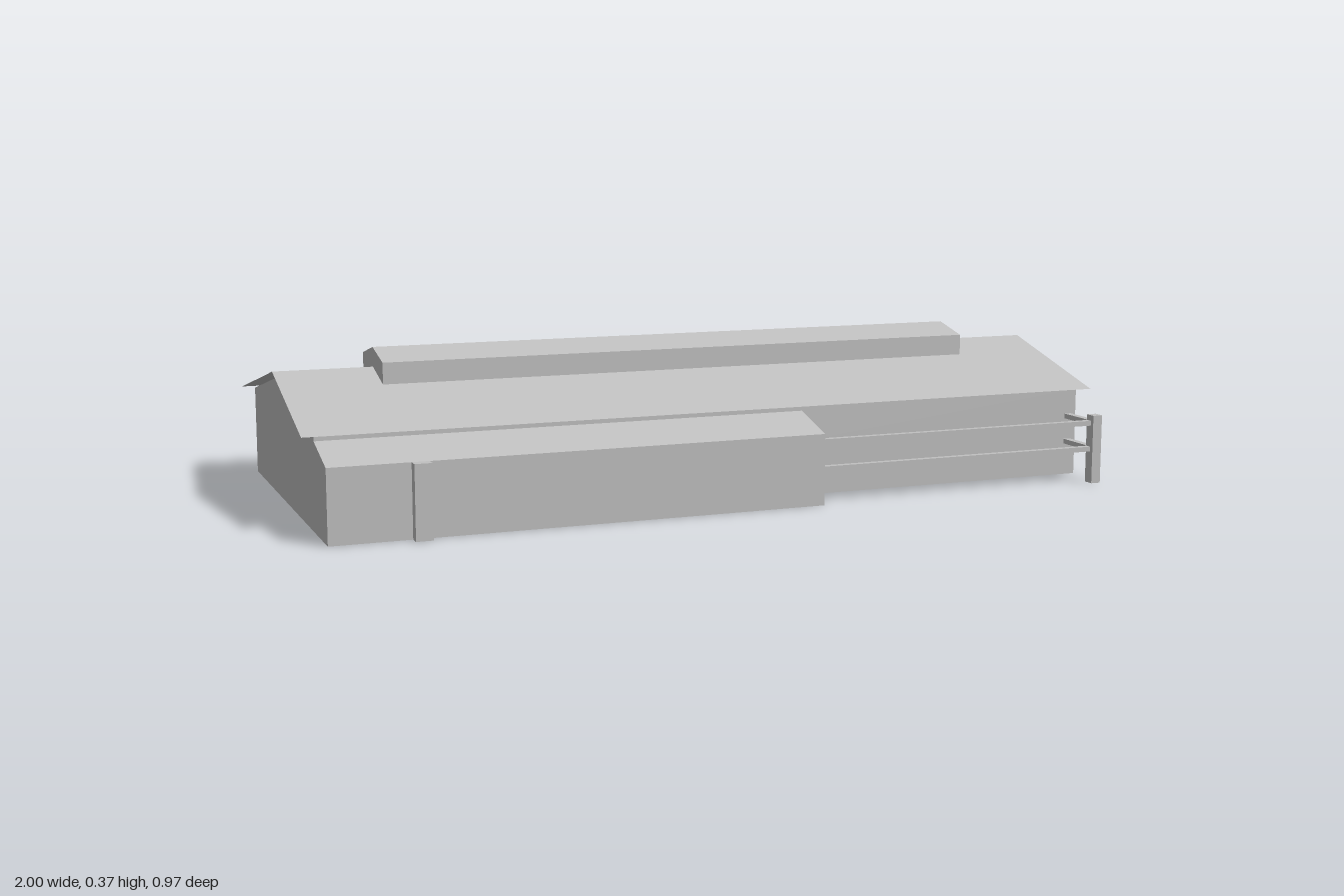
import * as THREE from 'three';

export function createModel() {
  const group = new THREE.Group();
  const grey = new THREE.MeshStandardMaterial({ color: 0xc0c0c0, side: THREE.DoubleSide });
  grey.name = 'light grey';

  function add(name, geometry) {
    const mesh = new THREE.Mesh(geometry, grey);
    mesh.name = name;
    group.add(mesh);
    return mesh;
  }

  // Thin flat panels along x, following a [z, y] path from front to back
  function sheet(name, path, x0, x1) {
    const pos = [];
    for (let i = 0; i < path.length - 1; i++) {
      const [za, ya] = path[i];
      const [zb, yb] = path[i + 1];
      pos.push(x0, ya, za, x1, ya, za, x1, yb, zb);
      pos.push(x0, ya, za, x1, yb, zb, x0, yb, zb);
    }
    const g = new THREE.BufferGeometry();
    g.setAttribute('position', new THREE.Float32BufferAttribute(pos, 3));
    g.computeVertexNormals();
    return add(name, g);
  }

  // Flat end panel with a [z, y] outline, standing at x
  function endPanel(name, outline, x) {
    const shape = new THREE.Shape(outline.map(([z, y]) => new THREE.Vector2(-z, y)));
    const g = new THREE.ShapeGeometry(shape);
    g.rotateY(Math.PI / 2);
    g.translate(x, 0, 0);
    return add(name, g);
  }

  function box(name, x0, x1, y0, y1, z0, z1) {
    const g = new THREE.BoxGeometry(x1 - x0, y1 - y0, z1 - z0);
    g.translate((x0 + x1) / 2, (y0 + y1) / 2, (z0 + z1) / 2);
    return add(name, g);
  }

  // Main hall, open underneath
  const gable = [[0.33, 0], [-0.46, 0], [-0.46, 0.217], [-0.004, 0.312], [0.33, 0.217]];
  endPanel('leftGable', gable, 0.97);
  endPanel('rightGable', gable, -0.97);
  sheet('frontWall', [[0.33, 0], [0.33, 0.217]], -0.97, 0.97);
  sheet('backWall', [[-0.46, 0.217], [-0.46, 0]], -0.97, 0.97);

  // Roof sheets, with an opening below the ridge vent
  const ridge = [-0.004, 0.318];
  const frontKerb = [0.1, 0.289];
  const backKerb = [-0.112, 0.295];
  const ventX = 0.763;
  sheet('frontRoof', [[0.35, 0.219], frontKerb], -1, 1);
  sheet('backRoof', [backKerb, [-0.48, 0.219]], -1, 1);
  sheet('leftRidgeRoof', [frontKerb, ridge, backKerb], ventX, 1);
  sheet('rightRidgeRoof', [frontKerb, ridge, backKerb], -1, -ventX);

  // Raised vent along the ridge
  const ventTop = [[0.1, 0.34], [-0.004, 0.365], [-0.112, 0.34]];
  sheet('ridgeVent', [frontKerb, ...ventTop, backKerb], -ventX, ventX);
  for (const s of [-1, 1]) {
    endPanel('ridgeVentEnd', [frontKerb, ridge, backKerb, ...[...ventTop].reverse()], s * ventX);
  }

  // Lean-to annex on the front
  const annex = [[0.33, 0], [0.46, 0], [0.46, 0.17], [0.33, 0.206]];
  sheet('annexShell', annex, -0.97, 0.2);
  endPanel('annexLeftEnd', annex, 0.2);
  endPanel('annexRightEnd', annex, -0.97);

  // Posts against the walls
  box('annexPost', -0.785, -0.745, 0, 0.17, 0.455, 0.485);
  for (const x of [-0.525, -0.455]) {
    box('backPost', x - 0.021, x + 0.021, 0, 0.222, -0.487, -0.455);
  }

  // Corner pen: post with two rails each way
  box('penPost', 0.935, 0.96, 0, 0.17, 0.435, 0.463);
  for (const y of [0.085, 0.15]) {
    box('penFrontRail', 0.2, 0.935, y - 0.006, y + 0.006, 0.437, 0.453);
    box('penSideRail', 0.938, 0.956, y - 0.006, y + 0.006, 0.33, 0.435);
  }

  return group;
}
